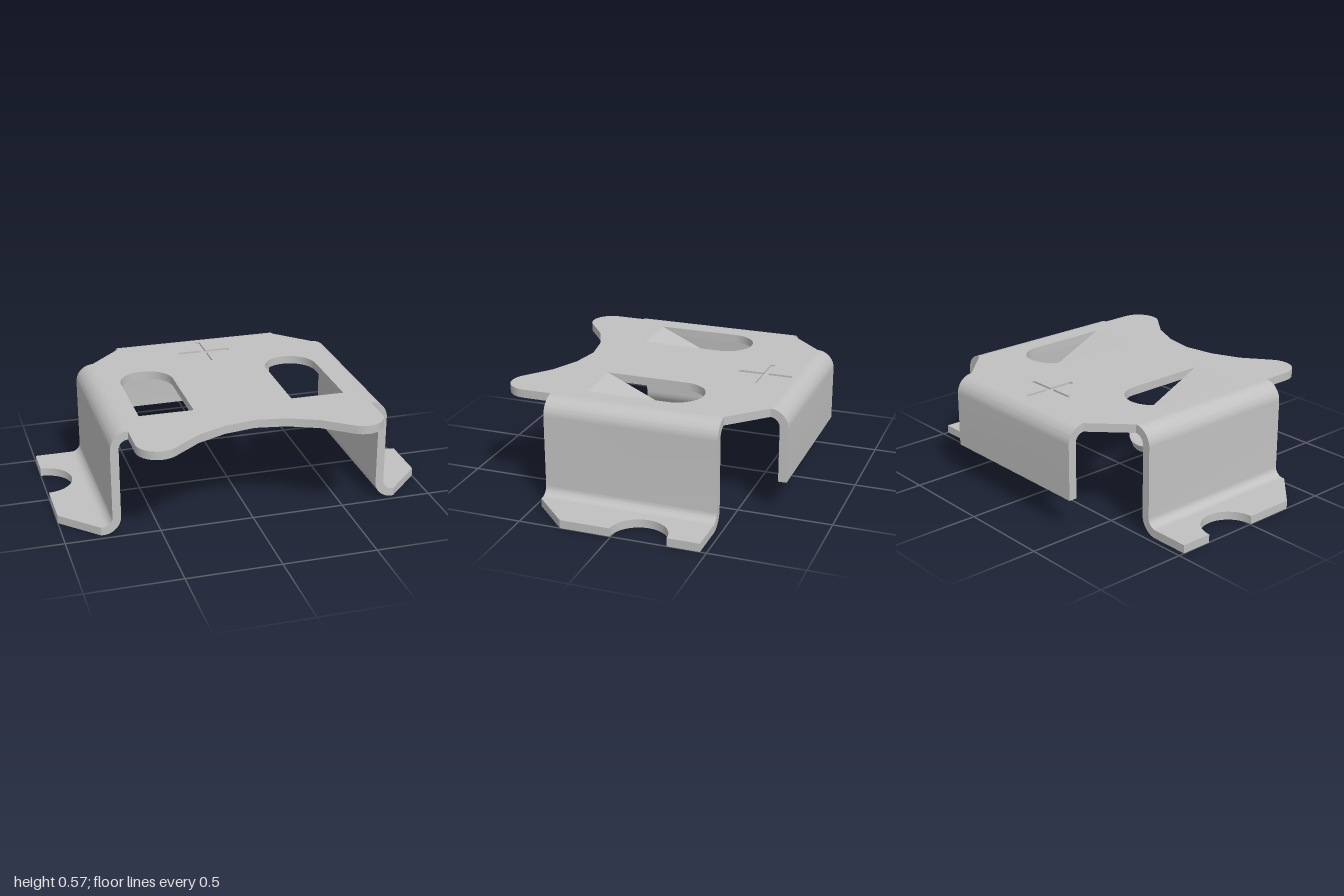
import * as THREE from 'three';
import { toCreasedNormals } from 'three/addons/utils/BufferGeometryUtils.js';

const T = 0.045;      // sheet thickness
const TOP = 0.57;     // height of the top face
const PI = Math.PI;

export function createModel() {
  const model = new THREE.Group();
  model.name = 'sheetMetalRetainer';
  const steel = new THREE.MeshStandardMaterial({ color: 0xc0c0c0 });
  steel.name = 'steel';

  const add = (parent, name, geometry) => {
    const mesh = new THREE.Mesh(toCreasedNormals(geometry, 0.5), steel);
    mesh.name = name;
    parent.add(mesh);
    return mesh;
  };
  const extrude = (shape, depth) =>
    new THREE.ExtrudeGeometry(shape, { depth, bevelEnabled: false, curveSegments: 16 });
  // Outline drawn in (x, z), thickened downwards from height y
  const plate = (shape, y, depth) => extrude(shape, depth).rotateX(PI / 2).translate(0, y, 0);
  // Copy of an outline mirrored by s = 1 or -1
  const mirrored = (path, s) =>
    new THREE.Shape(path.getPoints(16).map((p) => new THREE.Vector2(p.x * s, p.y)));
  // Straight slot with one round end towards -z
  const slot = (x, r, front, back) => {
    const s = new THREE.Shape();
    s.moveTo(x + r, front);
    s.lineTo(x + r, back + r);
    s.absarc(x, back + r, r, 0, -PI, true);
    s.lineTo(x - r, front);
    s.closePath();
    return s;
  };

  // Top plate outline: chamfered back, rounded front ears, scalloped front
  const half = [[0.467, -0.65], [0.65, -0.467], [0.65, 0.625]];
  for (let i = 1; i <= 14; i++) {
    const a = (i / 14) * 2.18;
    half.push([0.535 + 0.115 * Math.cos(a), 0.625 + 0.115 * Math.sin(a)]);
  }
  half.push([0.32, 0.605], [0.165, 0.538]);
  const outline = [
    ...half, [0, 0.51],
    ...half.slice().reverse().map(([x, z]) => [-x, z]),
  ].map(([x, z]) => new THREE.Vector2(x, z));
  const plateShape = () => {
    const s = new THREE.Shape(outline);
    for (const side of [1, -1]) s.holes.push(slot(side * 0.412, 0.145, 0.305, -0.282));
    return s;
  };

  // Thin upper layer carries the engraved cross, the lower layer is its floor
  const groove = 0.01;
  const a = 0.147, b = 0.013, cz = -0.485;
  const cross = new THREE.Path([
    [b, b], [b, a], [-b, a], [-b, b], [-a, b], [-a, -b],
    [-b, -b], [-b, -a], [b, -a], [b, -b], [a, -b], [a, b],
  ].map(([x, z]) => new THREE.Vector2(x, z + cz)));
  const upper = plateShape();
  upper.holes.push(cross);
  add(model, 'topPlateUpper', plate(upper, TOP, groove));
  add(model, 'topPlateLower', plate(plateShape(), TOP - groove, T - groove));

  // Back flange, bent down
  const flange = new THREE.Shape();
  flange.moveTo(0.65, TOP);
  flange.absarc(0.65, 0.475, 0.095, PI / 2, 0, true);
  flange.lineTo(0.745, 0.178);
  flange.lineTo(0.70, 0.178);
  flange.lineTo(0.70, 0.475);
  flange.absarc(0.65, 0.475, 0.05, 0, PI / 2, false);
  flange.closePath();
  add(model, 'backFlange', extrude(flange, 0.934).rotateY(PI / 2).translate(-0.467, 0, 0));

  // Side leg cross-section with a bend at top and bottom
  const leg = new THREE.Shape();
  leg.moveTo(0.65, TOP);
  leg.absarc(0.65, 0.475, 0.095, PI / 2, 0, true);
  leg.lineTo(0.745, 0.095);
  leg.absarc(0.795, 0.095, 0.05, PI, 1.5 * PI, false);
  leg.lineTo(0.80, 0.045);
  leg.lineTo(0.80, 0);
  leg.lineTo(0.795, 0);
  leg.absarc(0.795, 0.095, 0.095, 1.5 * PI, PI, true);
  leg.lineTo(0.70, 0.475);
  leg.absarc(0.65, 0.475, 0.05, 0, PI / 2, false);

  // Foot outline with a front chamfer and a half-round screw notch
  const foot = new THREE.Shape();
  foot.moveTo(0.80, -0.467);
  foot.lineTo(1, -0.467);
  foot.lineTo(1, -0.295);
  foot.absarc(1, -0.145, 0.15, 1.5 * PI, 0.5 * PI, true);
  foot.lineTo(1, 0.275);
  foot.lineTo(0.807, 0.467);
  foot.lineTo(0.80, 0.467);

  // Spring tongue values
  const r = 0.142, length = 0.605, dimpleR = 0.125, dimpleD = 0.03;

  for (const [s, side] of [[1, 'left'], [-1, 'right']]) {
    add(model, side + 'Leg', extrude(mirrored(leg, s), 0.934).translate(0, 0, -0.467));
    add(model, side + 'Foot', plate(mirrored(foot, s), T, T));

    // Tongue slopes down from the front end of its slot
    const tongue = new THREE.Group();
    tongue.name = side + 'Tongue';
    tongue.position.set(s * 0.412, TOP, 0.305);
    tongue.rotation.x = -0.427;
    const shape = slot(0, r, 0, -length);
    const hole = new THREE.Path();
    hole.absarc(0, r - length, dimpleR, 0, 2 * PI, false);
    shape.holes.push(hole);
    add(tongue, side + 'TongueStrip', plate(shape, 0, T));

    // Shallow conical contact dimple
    const profile = [[0, -T - dimpleD], [dimpleR, -T], [dimpleR, 0], [0, -dimpleD]];
    const cone = new THREE.LatheGeometry(profile.map(([x, y]) => new THREE.Vector2(x, y)), 32);
    add(tongue, side + 'ContactDimple', cone.translate(0, 0, r - length));
    model.add(tongue);
  }
  return model;
}
